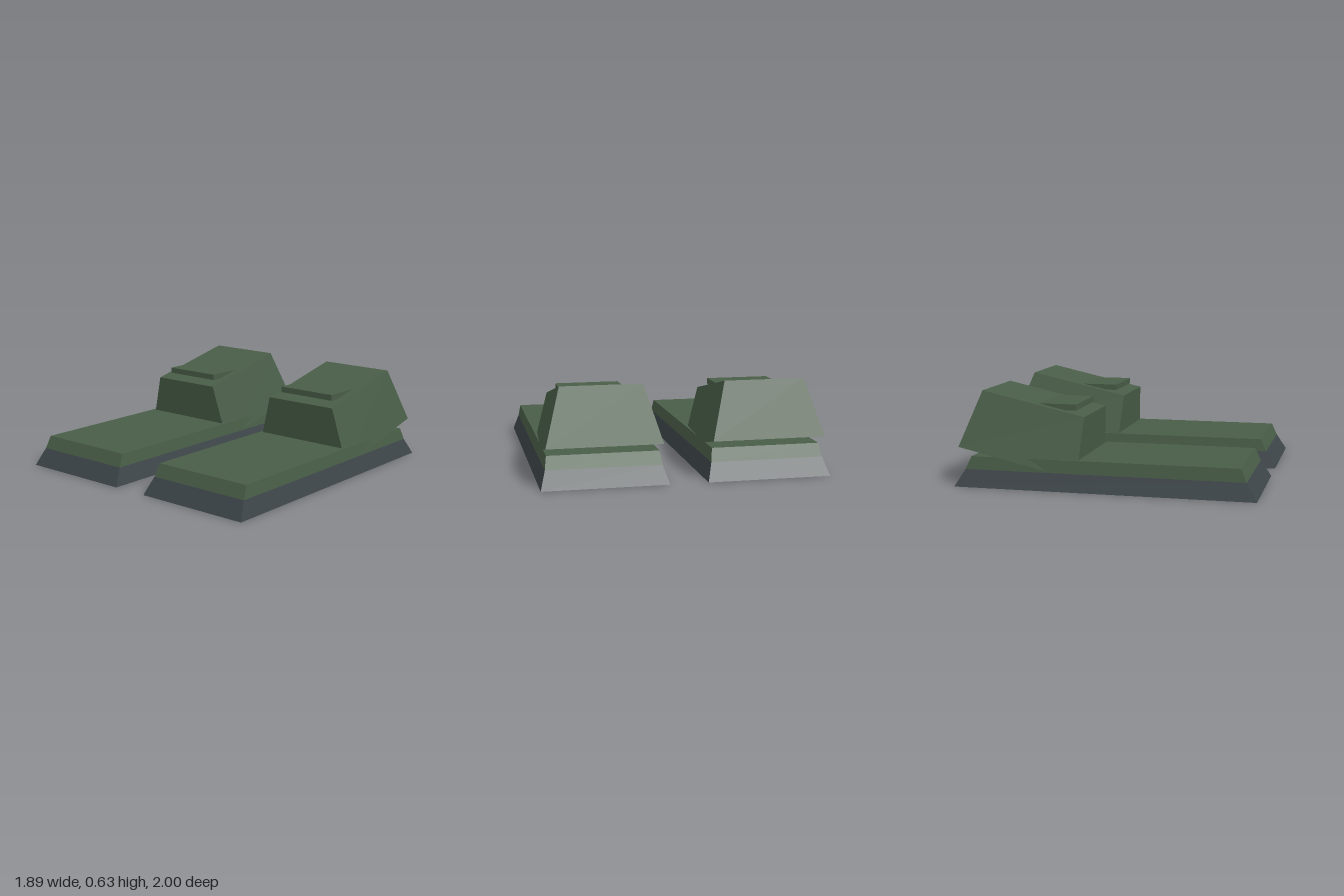
import * as THREE from 'three';

const green = new THREE.MeshStandardMaterial({ name: 'dullGreen', color: 0x485d47 });
const grey = new THREE.MeshStandardMaterial({ name: 'soleGrey', color: 0x3d4549 });

// Six-sided block: each end edge is given as half width (w), height (y) and depth position (z)
function block(name, material, { bottomFront, bottomBack, topFront, topBack }) {
  const geometry = new THREE.BoxGeometry(1, 1, 1).toNonIndexed();
  const p = geometry.attributes.position;
  for (let i = 0; i < p.count; i++) {
    const front = p.getZ(i) > 0;
    const edge = p.getY(i) > 0 ? (front ? topFront : topBack) : (front ? bottomFront : bottomBack);
    const [w, y, z] = edge;
    p.setXYZ(i, Math.sign(p.getX(i)) * w, y, z);
  }
  geometry.computeVertexNormals();
  const mesh = new THREE.Mesh(geometry, material);
  mesh.name = name;
  return mesh;
}

// Level block tapering from one rectangle to a smaller one
function taper(name, material, [w0, y0, d0], [w1, y1, d1]) {
  return block(name, material, {
    bottomFront: [w0, y0, d0], bottomBack: [w0, y0, -d0],
    topFront: [w1, y1, d1], topBack: [w1, y1, -d1],
  });
}

function createFoot(name, x) {
  const foot = new THREE.Group();
  foot.name = name;
  foot.position.x = x;

  // Flared sole and the upper plate above it
  foot.add(taper('sole', grey, [0.41, 0, 1], [0.375, 0.115, 0.93]));
  foot.add(taper('footPlate', green, [0.375, 0.115, 0.93], [0.362, 0.2, 0.892]));

  // Ankle block leaning forward, its front sunk into the foot plate
  foot.add(block('ankle', green, {
    bottomFront: [0.374, 0.08, -0.175], bottomBack: [0.374, 0.26, -0.978],
    topFront: [0.268, 0.472, -0.145], topBack: [0.268, 0.627, -0.842],
  }));

  // Level ledge half buried in the ankle top
  const ledge = new THREE.Mesh(new THREE.BoxGeometry(0.43, 0.04, 0.3), green);
  ledge.name = 'ankleLedge';
  ledge.position.set(0, 0.525, -0.365);
  foot.add(ledge);

  return foot;
}

export function createModel() {
  const model = new THREE.Group();
  model.name = 'feet';
  model.add(createFoot('leftFoot', 0.535), createFoot('rightFoot', -0.535));
  return model;
}
